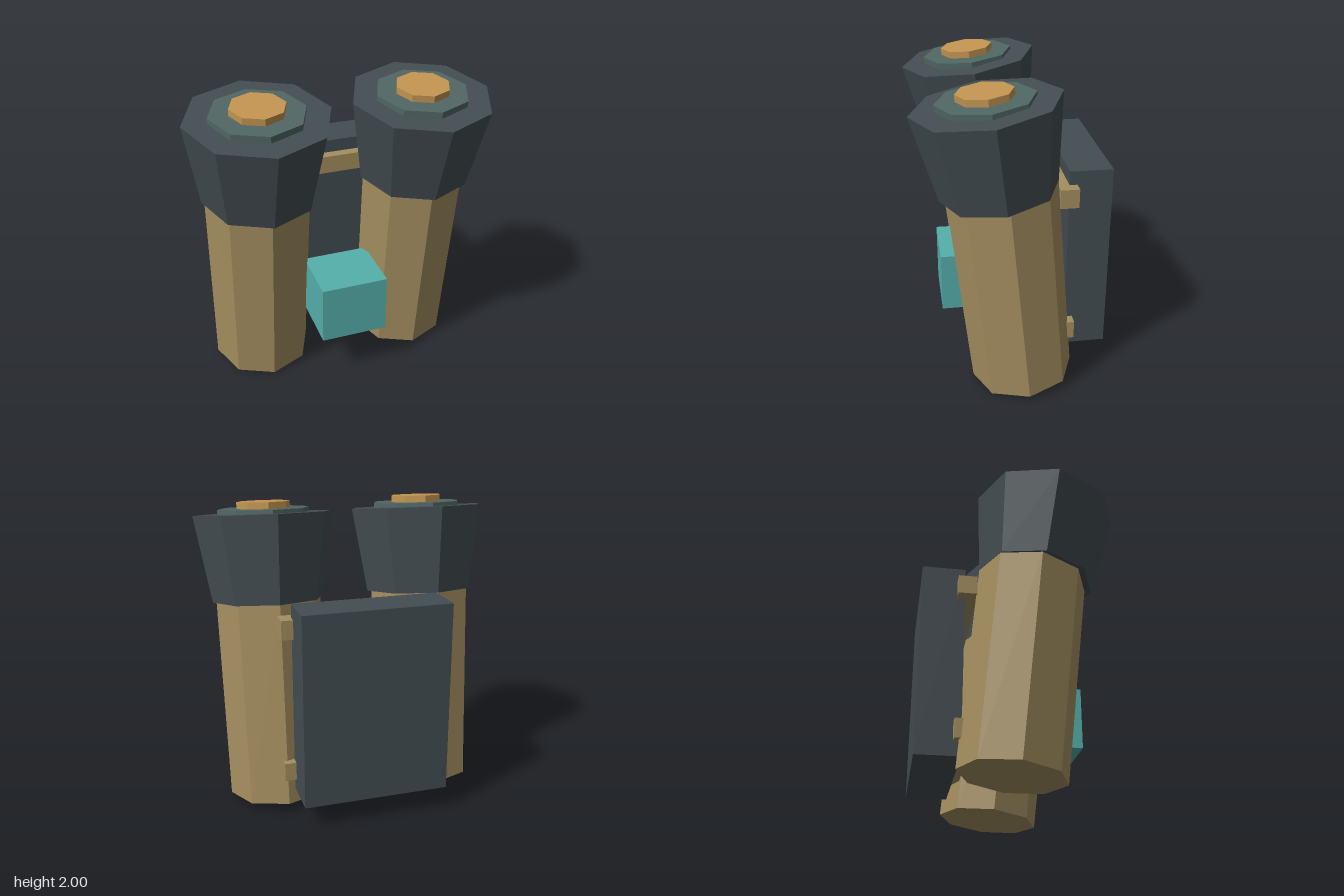
import * as THREE from 'three';

const mat = (color) => new THREE.MeshStandardMaterial({ color, flatShading: true });

export function createModel() {
  const root = new THREE.Group();
  root.name = 'binoculars';
  const tan = mat(0xa58f60), dark = mat(0x434d51), slate = mat(0x506763);
  const copper = mat(0xc39551), teal = mat(0x55b0ac);

  // Eight-sided drum centred at (y, z), tilted forward
  const drum = (parent, name, material, rTop, rBottom, height, y, z, tilt) => {
    const mesh = new THREE.Mesh(new THREE.CylinderGeometry(rTop, rBottom, height, 8), material);
    mesh.name = name;
    mesh.position.set(0, y, z);
    mesh.rotation.x = tilt;
    parent.add(mesh);
  };

  // Box given by its extents: half width, y range, z range
  const block = (name, material, halfX, y0, y1, z0, z1) => {
    const mesh = new THREE.Mesh(new THREE.BoxGeometry(halfX * 2, y1 - y0, z1 - z0), material);
    mesh.name = name;
    mesh.position.set(0, (y0 + y1) / 2, (z0 + z1) / 2);
    root.add(mesh);
  };

  // Two tilted barrels with flared heads and stepped lenses
  for (const side of [1, -1]) {
    const barrel = new THREE.Group();
    barrel.name = side > 0 ? 'leftBarrel' : 'rightBarrel';
    barrel.position.x = side * 0.53;
    drum(barrel, 'tube', tan, 0.349, 0.332, 1.36, 0.716, 0.013, 0.1);
    drum(barrel, 'flaredHead', dark, 0.46, 0.37, 0.56, 1.632, 0.135, 0.135);
    drum(barrel, 'lensRing', slate, 0.303, 0.303, 0.07, 1.907, 0.172, 0.1);
    drum(barrel, 'lens', copper, 0.176, 0.176, 0.07, 1.95, 0.178, 0.095);
    root.add(barrel);
  }

  // Bridge between the barrels
  block('bridge', teal, 0.225, 0.345, 0.75, 0.04, 0.45);

  // Back pack and the two bars that hold it
  block('backPlate', dark, 0.48, 0.165, 1.43, -0.627, -0.35);
  block('upperBar', tan, 0.555, 1.215, 1.34, -0.4, -0.28);
  block('lowerBar', tan, 0.555, 0.253, 0.375, -0.4, -0.28);

  return root;
}
